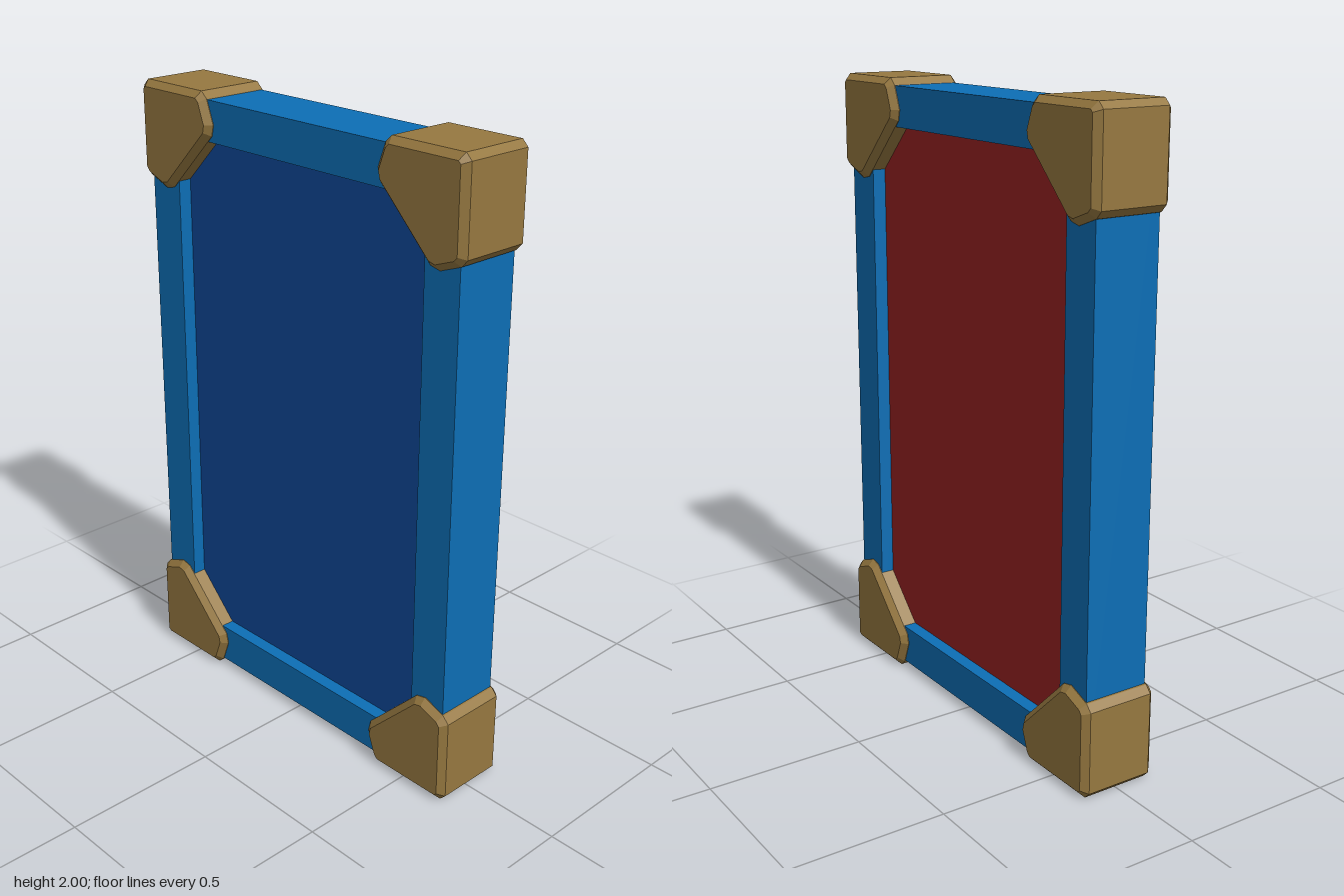
import * as THREE from 'three';

const mat = (color) => new THREE.MeshStandardMaterial({ color, flatShading: true });

// Extrude a (z, y) outline along x, centred on x = 0
function extrudeX(shape, width, bevel = 0) {
  const depth = width - 2 * bevel;
  const geo = new THREE.ExtrudeGeometry(shape, {
    depth,
    bevelEnabled: bevel > 0,
    bevelSize: bevel,
    bevelOffset: -bevel,
    bevelThickness: bevel,
    bevelSegments: 1,
  });
  geo.translate(0, 0, -depth / 2);
  geo.rotateY(-Math.PI / 2);
  return geo;
}

const rect = (hz, y0, y1) => [[-hz, y0], [hz, y0], [hz, y1], [-hz, y1]].map(([z, y]) => new THREE.Vector2(z, y));

export function createModel() {
  const group = new THREE.Group();
  const add = (name, geo, material) => {
    const mesh = new THREE.Mesh(geo, material);
    mesh.name = name;
    group.add(mesh);
    return mesh;
  };

  // Rectangular frame with an open middle
  const frame = new THREE.Shape(rect(0.65, 0.023, 1.977));
  frame.holes.push(new THREE.Path(rect(0.522, 0.152, 1.85)));
  add('frame', extrudeX(frame, 0.216), mat(0x0d6eb5));

  // Recessed panels, a different colour on each side
  for (const [name, side, color] of [['redPanel', 1, 0x982222], ['navyPanel', -1, 0x0e4696]]) {
    const panel = add(name, new THREE.BoxGeometry(0.064, 1.72, 1.06), mat(color));
    panel.position.set(side * 0.032, 1, 0);
  }

  // Chamfered corner caps: outline measured inward from the outer corner
  const outline = [
    [0, 0.02], [0.02, 0], [0.28, 0], [0.302, 0.02], [0.33, 0.095],
    [0.322, 0.13], [0.13, 0.322], [0.095, 0.33], [0.02, 0.302], [0, 0.28],
  ];
  const capMaterial = mat(0x967840);
  for (const sz of [1, -1]) {
    for (const sy of [1, -1]) {
      const pts = outline.map(([a, b]) => new THREE.Vector2(sz * (0.675 - a), 1 + sy * (1 - b)));
      const name = (sy > 0 ? 'upper' : 'lower') + (sz > 0 ? 'Front' : 'Back') + 'CornerCap';
      add(name, extrudeX(new THREE.Shape(pts), 0.26, 0.02), capMaterial);
    }
  }
  return group;
}
